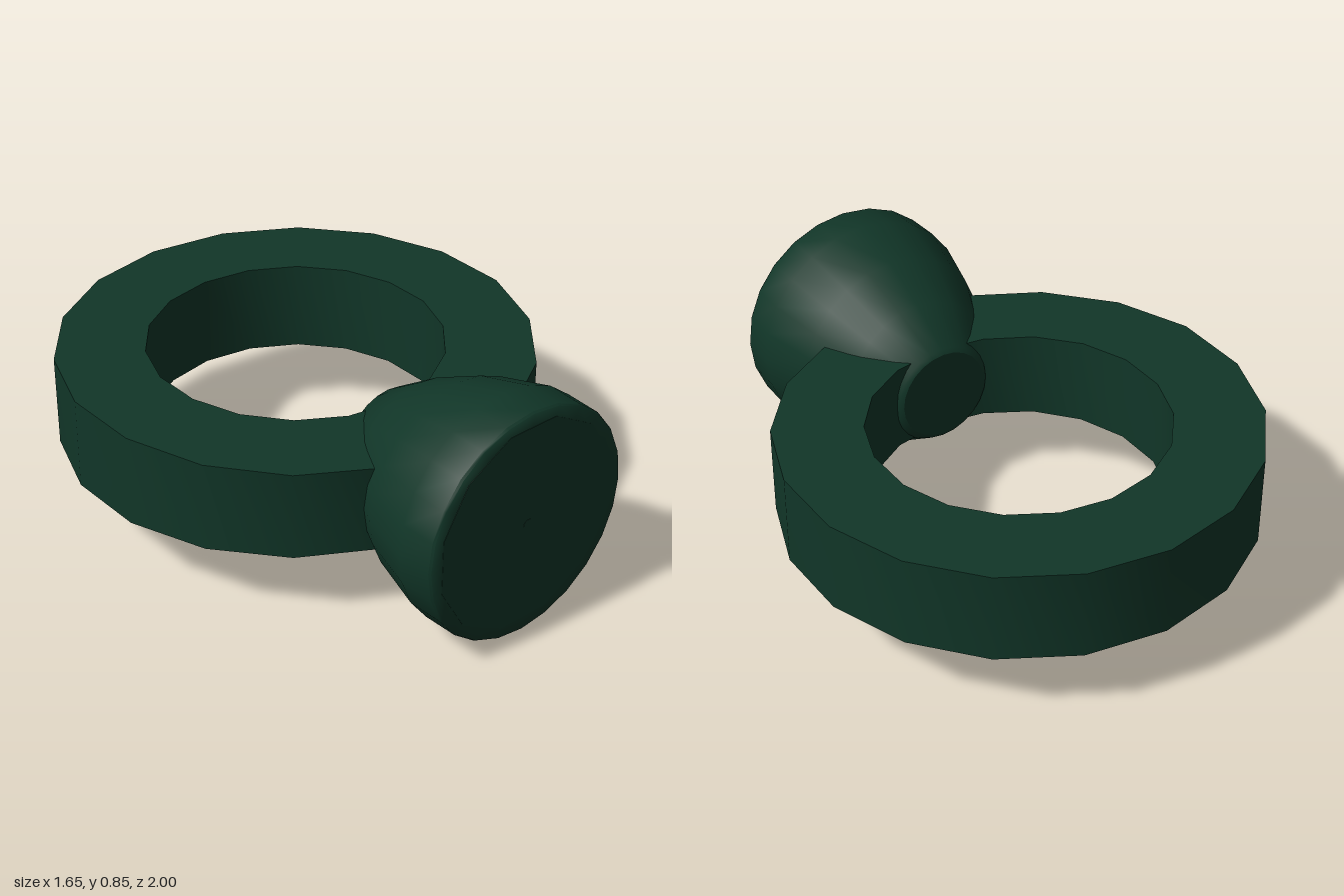
import * as THREE from 'three';
import { toCreasedNormals } from 'three/addons/utils/BufferGeometryUtils.js';

const AXIS_Y = 0.425;

export function createModel() {
  const model = new THREE.Group();
  model.name = 'ringWithBell';
  const darkGreen = new THREE.MeshStandardMaterial({ color: 0x113628 });
  darkGreen.name = 'darkGreen';

  const add = (name, geometry, x, y, z) => {
    const mesh = new THREE.Mesh(geometry, darkGreen);
    mesh.name = name;
    mesh.position.set(x, y, z);
    model.add(mesh);
    return mesh;
  };
  const lathe = (points, sides) =>
    new THREE.LatheGeometry(points.map(([r, h]) => new THREE.Vector2(r, h)), sides);

  // Flat ring with a rectangular section, its top dipping slightly to the front
  const ring = lathe([[0.84, 0.26], [0.84, 0.593], [0.525, 0.593], [0.525, 0.26], [0.84, 0.26]], 18);
  const p = ring.attributes.position;
  for (let i = 0; i < p.count; i++) {
    const z = p.getZ(i) - 0.16;
    if (p.getY(i) > 0.4 && z > 0) p.setY(i, p.getY(i) - 0.028 * z);
  }
  add('ring', toCreasedNormals(ring, 0.6), 0, 0, -0.16);

  // Bell lying along z, narrow end inside the ring
  const bell = lathe([
    [0.168, 0.315], [0.185, 0.325], [0.285, 0.48], [0.37, 0.66],
    [0.424, 0.86], [0.42, 0.99], [0.415, 0.998], [0.36, 0.998],
  ], 24);
  bell.rotateX(Math.PI / 2);
  add('bell', toCreasedNormals(bell, 1.2), 0, AXIS_Y, 0);

  // Cap on the narrow end
  const cap = new THREE.CircleGeometry(0.168, 24);
  cap.rotateY(Math.PI);
  add('backCap', cap, 0, AXIS_Y, 0.315);

  // Twelve-sided face plate with a small centre stud
  const disc = (radius, depth, sides) => {
    const g = new THREE.CylinderGeometry(radius, radius, depth, sides);
    g.rotateX(Math.PI / 2);
    g.rotateZ(Math.PI / sides);
    return g;
  };
  add('facePlate', disc(0.38, 0.008, 12), 0, AXIS_Y, 0.995);
  add('centreStud', disc(0.022, 0.008, 8), 0, AXIS_Y, 0.996);

  return model;
}
